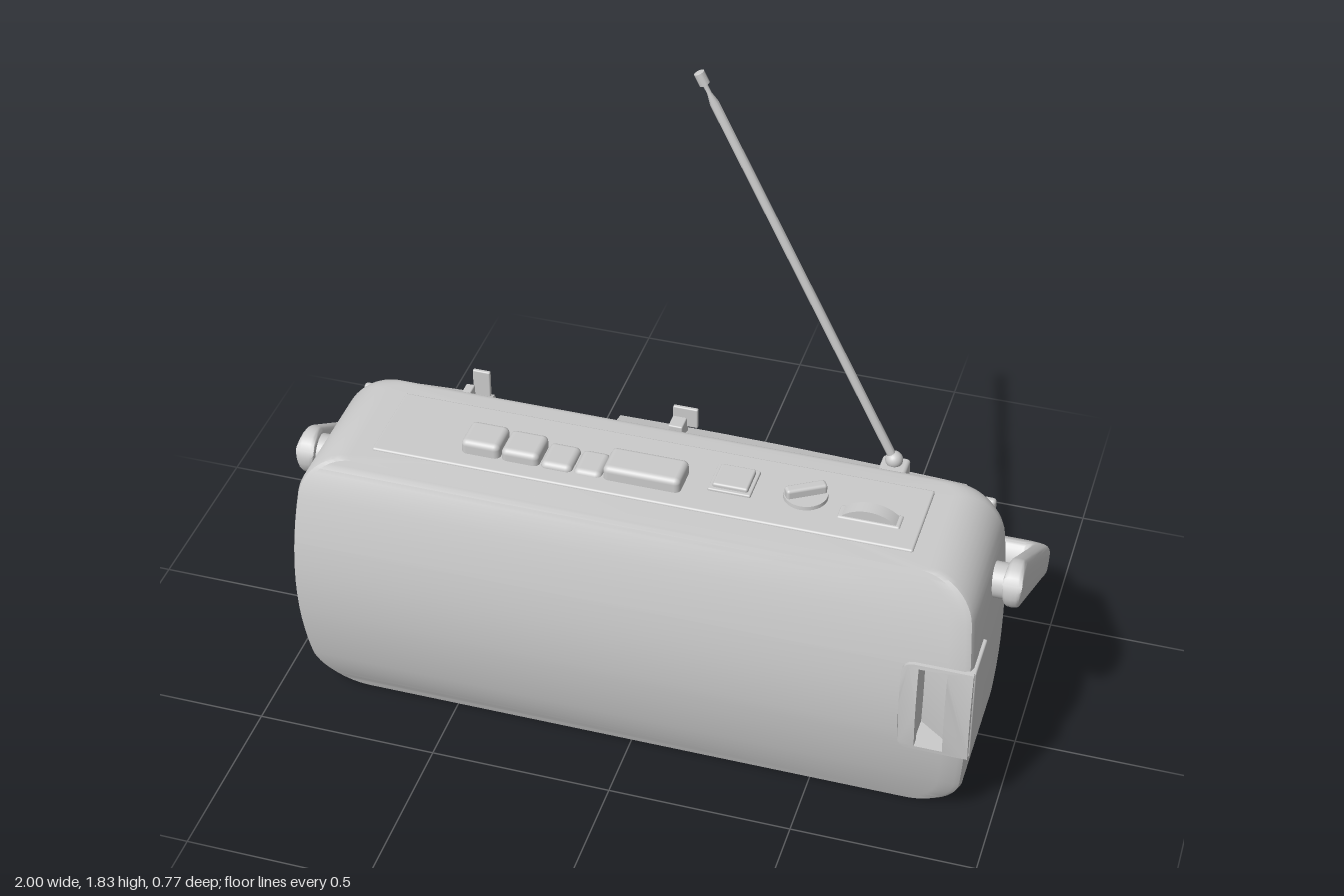
import * as THREE from 'three';
import { toCreasedNormals } from 'three/addons/utils/BufferGeometryUtils.js';
import { RoundedBoxGeometry } from 'three/addons/geometries/RoundedBoxGeometry.js';

const material = new THREE.MeshStandardMaterial({ color: 0xcccccc, side: THREE.DoubleSide });
const H = 0.79, W = 0.93;

// Skins a stack of equal-length rings and caps both ends
function loft(rings, crease = 0.5) {
  const n = rings[0].length, m = rings.length, pos = [], index = [];
  rings.forEach(r => r.forEach(p => pos.push(...p)));
  for (let i = 0; i < m - 1; i++) for (let j = 0; j < n; j++) {
    const a = i * n + j, b = i * n + (j + 1) % n;
    index.push(a, b, a + n, b, b + n, a + n);
  }
  [0, m - 1].forEach(i => {
    const c = pos.length / 3;
    pos.push(...[0, 1, 2].map(k => rings[i].reduce((s, p) => s + p[k], 0) / n));
    for (let j = 0; j < n; j++) {
      const a = i * n + j, b = i * n + (j + 1) % n;
      index.push(...(i ? [c, a, b] : [c, b, a]));
    }
  });
  const g = new THREE.BufferGeometry();
  g.setAttribute('position', new THREE.Float32BufferAttribute(pos, 3));
  g.setIndex(index);
  return toCreasedNormals(g, crease);
}

function add(parent, name, geometry, x = 0, y = 0, z = 0) {
  const mesh = new THREE.Mesh(geometry, material);
  mesh.name = name;
  mesh.position.set(x, y, z);
  parent.add(mesh);
  return mesh;
}

// Rounded box given by its extents
function block(parent, name, x0, x1, y0, y1, z0, z1, r = 0.008) {
  return add(parent, name, new RoundedBoxGeometry(x1 - x0, y1 - y0, z1 - z0, 3, r),
    (x0 + x1) / 2, (y0 + y1) / 2, (z0 + z1) / 2);
}

const round = (y, r) => { // inset of a rounded corner of radius r at height y
  const d = Math.max(0, r - Math.min(y, H - y));
  return r - Math.sqrt(Math.max(0, r * r - d * d));
};
const mid = y => (y - H / 2) / (H / 2);
const frontZ = y => 0.295 + 0.075 * (1 - mid(y) ** 2);

// Main case: horizontal sections with bowed front, rounded back and a dial slot
function caseGeometry() {
  const ys = [];
  for (let i = 0; i <= 12; i++) {
    const y = 0.12 * (1 - Math.cos(i / 12 * Math.PI / 2));
    ys.push(y, H - y);
  }
  ys.push(0.16, 0.21, 0.2599, 0.26, 0.3, 0.35, 0.395, 0.44, 0.49, 0.53, 0.5301, 0.58, 0.63);
  ys.sort((a, b) => a - b);
  return loft(ys.map(y => {
    const w = W - 0.03 * mid(y) ** 2 - round(y, 0.12), f = frontZ(y);
    const b = -0.095 + round(y, 0.03), slot = y >= 0.26 && y <= 0.53, s = w / W, r = 0.05;
    const half = [[w - 0.02, f], [w - 0.006, f - 0.006], [w, f - 0.02]];
    for (let i = 0; i <= 6; i++) {
      const a = i / 6 * Math.PI / 2;
      half.push([w - r + r * Math.cos(a), b + r - r * Math.sin(a)]);
    }
    const front = [[0.789, f], [0.79, slot ? f - 0.09 : f], [0.865, slot ? f - 0.035 : f], [0.866, f]];
    const left = half.map(([x, z]) => [-x, y, z]).reverse();
    return [...front.map(([x, z]) => [x * s, y, z]), ...half.map(([x, z]) => [x, y, z]), ...left];
  }));
}

// Rear housing: sloped all round, bowed back, with a sloping notch in the top edge
function rearGeometry() {
  const rows = [[0.07, 0], [0.085, 0.35], [0.115, 0.93], [0.13, 1], [0.3, 1], [0.52, 1], [0.58, 1],
    [0.65, 1], [0.665, 0.93], [0.69, 0.45], [0.71, 0]];
  const backX = [0.7, 0.55, 0.4, 0.25, 0.1, 0, -0.1, -0.199, -0.2, -0.32, -0.44, -0.56, -0.561, -0.7];
  return loft(rows.map(([y, k]) => {
    const e = Math.max(0, 0.06 - Math.min(y - 0.07, 0.71 - y));
    const s = 1 - (0.06 - Math.sqrt(0.0036 - e * e)) / 0.86;
    const depth = x => -0.1 + (-0.168 + 0.028 * (x / 0.79) ** 2) * k;
    const side = [[0.86, -0.085], [0.86, -0.105], [0.815, -0.1 - 0.09 * k], [0.795, -0.1 - 0.125 * k], [0.775, depth(0.775)]];
    const back = backX.map(x => {
      const cut = x <= -0.2 && x >= -0.56 ? -0.262 + 0.1 * Math.max(0, y - 0.52) / 0.16 : -1;
      return [x * s, y, Math.max(depth(x), cut)];
    });
    return [...side.map(([x, z]) => [x * s, y, z]), ...back,
      ...side.map(([x, z]) => [-x * s, y, z]).reverse()];
  }), 0.4);
}

// U-shaped handle, lying along local -y from its pivots
function handleGeometry() {
  const path = [0.065, 0.062, 0.052, 0.036, 0.018, 0, -0.15, -0.3, -0.44].map(y => [-0.973, y]);
  for (let i = 1; i <= 6; i++) {
    const a = i / 6 * Math.PI / 2;
    path.push([-0.973 + 0.05 * (1 - Math.cos(a)), -0.45 - 0.05 * Math.sin(a)]);
  }
  path.push(...path.map(([x, y]) => [-x, y]).reverse());
  const power = c => Math.sign(c) * Math.abs(c) ** 0.55;
  return loft(path.map(([x, y], i) => {
    const p = path[Math.max(0, i - 1)], q = path[Math.min(path.length - 1, i + 1)];
    const l = Math.hypot(q[0] - p[0], q[1] - p[1]);
    const nx = -(q[1] - p[1]) / l, ny = (q[0] - p[0]) / l;
    const wide = y > 0 ? Math.sqrt(Math.max(1e-6, 0.065 ** 2 - y * y)) : 0.065 + 0.044 * y;
    const thick = 0.026 + 0.009 * Math.min(1, Math.max(0, (-y - 0.44) / 0.06));
    return Array.from({ length: 24 }, (_, j) => {
      const a = j / 24 * Math.PI * 2, c = power(Math.cos(a)) * thick;
      return [x + nx * c, y + ny * c, power(Math.sin(a)) * wide];
    });
  }), 0.7);
}

// Window frame around the dial slot, following the bowed front
function frameGeometry() {
  const edge = (x, y0, y1) => Array.from({ length: 9 }, (_, i) => new THREE.Vector2(x, y0 + (y1 - y0) * i / 8));
  const corner = (y, a0) => [1, 2, 3].map(i => {
    const a = a0 + i / 4 * Math.PI / 2;
    return new THREE.Vector2(0.775 + 0.03 * Math.cos(a), y + 0.03 * Math.sin(a));
  });
  const shape = new THREE.Shape([...edge(0.932, 0.25, 0.54), new THREE.Vector2(0.775, 0.54),
    ...corner(0.51, Math.PI / 2), ...edge(0.745, 0.51, 0.28), ...corner(0.28, Math.PI), new THREE.Vector2(0.775, 0.25)]);
  shape.holes.push(new THREE.Path([...edge(0.79, 0.262, 0.528), ...edge(0.865, 0.528, 0.262)]));
  const g = new THREE.ExtrudeGeometry(shape, { depth: 0.03, bevelEnabled: false });
  const p = g.attributes.position;
  for (let i = 0; i < p.count; i++) p.setZ(i, p.getZ(i) + frontZ(p.getY(i)) - 0.02);
  return toCreasedNormals(g, 0.5);
}

export function createModel() {
  const radio = new THREE.Group();
  radio.name = 'portableRadio';
  add(radio, 'case', caseGeometry());
  add(radio, 'rearHousing', rearGeometry());
  block(radio, 'rearSeam', -0.88, 0.88, 0.045, 0.745, -0.103, -0.08, 0.01);
  add(radio, 'dialFrame', frameGeometry());
  block(radio, 'dialFrameSide', 0.88, 0.936, 0.25, 0.54, 0.22, 0.36, 0.005);

  // Top controls
  block(radio, 'topPanel', -0.73, 0.73, 0.775, 0.796, -0.02, 0.235, 0.006);
  [[-0.5, -0.393, 0.835], [-0.389, -0.285, 0.83], [-0.281, -0.195, 0.812], [-0.191, -0.114, 0.808], [-0.11, 0.1, 0.835]]
    .forEach(([a, b, top]) => block(radio, 'pushButton', a, b, 0.75, top, 0.085, 0.185, 0.016));
  block(radio, 'squareButtonRim', 0.165, 0.28, 0.78, 0.803, 0.04, 0.15, 0.004);
  block(radio, 'squareButton', 0.175, 0.27, 0.78, 0.814, 0.05, 0.14, 0.006);
  add(radio, 'knobBase', new THREE.CylinderGeometry(0.058, 0.06, 0.03, 40), 0.415, 0.792, 0.1);
  block(radio, 'knobGrip', 0.36, 0.47, 0.79, 0.832, 0.085, 0.115, 0.008).rotation.y = 0.55;
  block(radio, 'wheelRim', 0.512, 0.678, 0.78, 0.8, 0.108, 0.162, 0.006);
  add(radio, 'thumbWheel', new THREE.CylinderGeometry(0.109, 0.109, 0.04, 64), 0.595, 0.718, 0.135).rotation.x = Math.PI / 2;

  // Carrying handle on two pivots
  const handle = new THREE.Group();
  handle.name = 'handle';
  handle.position.set(0, 0.62, 0.075);
  handle.rotation.x = 1.02;
  radio.add(handle);
  add(handle, 'handleLoop', handleGeometry());
  [-1, 1].forEach(s => {
    add(handle, 'handlePivot', new THREE.CylinderGeometry(0.048, 0.048, 0.09, 32), s * 0.92).rotation.z = Math.PI / 2;
  });

  // Telescopic aerial, leaning towards the middle
  const aerial = new THREE.Group();
  aerial.name = 'aerial';
  aerial.position.set(0.58, 0.725, -0.205);
  aerial.rotation.z = Math.atan2(0.55, 1.1);
  radio.add(aerial);
  add(aerial, 'aerialJoint', new THREE.SphereGeometry(0.024, 24, 16));
  const rod = [[0, 0], [0.012, 0], [0.012, 1.135], [0.006, 1.165], [0.006, 1.19], [0.014, 1.192], [0.014, 1.226], [0, 1.23]];
  add(aerial, 'aerialRod', toCreasedNormals(new THREE.LatheGeometry(rod.map(p => new THREE.Vector2(...p)), 20), 0.6));
  block(radio, 'aerialMount', 0.545, 0.62, 0.64, 0.715, -0.235, -0.15, 0.01);

  // Rear clips, side plug and socket
  block(radio, 'clip', -0.04, 0.03, 0.69, 0.752, -0.237, -0.225, 0.004);
  block(radio, 'clipStem', -0.04, 0, 0.62, 0.72, -0.237, -0.18, 0.004);
  block(radio, 'clip', -0.615, -0.565, 0.64, 0.75, -0.237, -0.225, 0.004);
  block(radio, 'clipBlock', -0.61, -0.585, 0.66, 0.75, -0.165, -0.11, 0.004);
  add(radio, 'sidePlug', new THREE.CapsuleGeometry(0.028, 0.06, 6, 20), 0.82, 0.265, -0.175).rotation.x = Math.PI / 2;
  const bezel = new THREE.Shape([[-0.07, -0.05], [0.07, -0.05], [0.07, 0.05], [-0.07, 0.05]].map(p => new THREE.Vector2(...p)));
  bezel.holes.push(new THREE.Path([[-0.045, -0.025], [-0.045, 0.025], [0.045, 0.025], [0.045, -0.025]].map(p => new THREE.Vector2(...p))));
  add(radio, 'socketBezel', new THREE.ExtrudeGeometry(bezel, { depth: 0.02, bevelEnabled: false }), -0.14, 0.2, -0.275);
  block(radio, 'socketTongue', -0.17, -0.11, 0.192, 0.208, -0.273, -0.25, 0.003);
  return radio;
}
